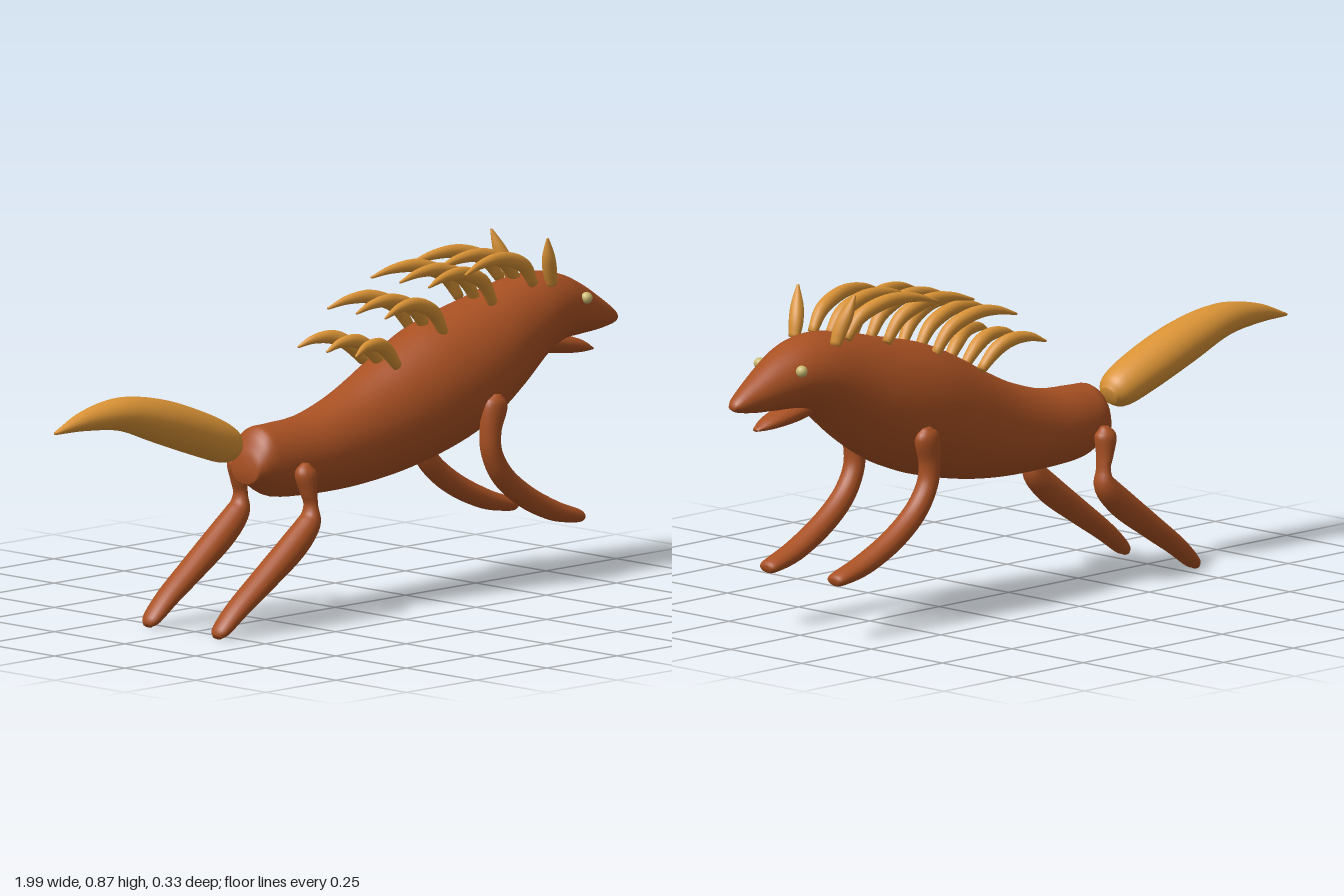
import * as THREE from 'three';

// Smooth loft of elliptical sections along a spine. Each row: [x, y, z, radius across spine, radius in z].
// upright keeps every section in a plane facing x; otherwise sections follow the spine.
function loft(rows, { steps = 24, sides = 20, upright = false } = {}) {
  const curve = (f) => new THREE.CatmullRomCurve3(rows.map(f), false, 'catmullrom', 0.5);
  const spine = curve((r) => new THREE.Vector3(r[0], r[1], r[2]));
  const radii = curve((r) => new THREE.Vector3(r[3], r[4], 0));
  const pos = [], idx = [];
  for (let i = 0; i <= steps; i++) {
    const t = i / steps;
    const c = spine.getPoint(t), r = radii.getPoint(t);
    const d = upright ? new THREE.Vector3(1, 0, 0) : spine.getTangent(t).setZ(0).normalize();
    for (let j = 0; j < sides; j++) {
      const a = (j / sides) * Math.PI * 2;
      const n = Math.cos(a) * Math.max(r.x, 0.002), b = Math.sin(a) * Math.max(r.y, 0.002);
      pos.push(c.x - d.y * n, c.y + d.x * n, c.z + b);
    }
  }
  for (let i = 0; i < steps; i++) {
    for (let j = 0; j < sides; j++) {
      const k = (j + 1) % sides;
      const a = i * sides + j, b = i * sides + k;
      idx.push(a, b, a + sides, b, b + sides, a + sides);
    }
  }
  // end caps
  const p0 = spine.getPoint(0), p1 = spine.getPoint(1);
  const s = pos.length / 3, last = steps * sides;
  pos.push(p0.x, p0.y, p0.z, p1.x, p1.y, p1.z);
  for (let j = 0; j < sides; j++) {
    const k = (j + 1) % sides;
    idx.push(s, k, j, s + 1, last + j, last + k);
  }
  const g = new THREE.BufferGeometry();
  g.setAttribute('position', new THREE.Float32BufferAttribute(pos, 3));
  g.setIndex(idx);
  g.computeVertexNormals();
  return g;
}

export function createModel() {
  const coat = new THREE.MeshStandardMaterial({ color: 0xa85022 });
  coat.name = 'chestnut coat';
  const hair = new THREE.MeshStandardMaterial({ color: 0xd99235 });
  hair.name = 'golden hair';
  const eyeMat = new THREE.MeshStandardMaterial({ color: 0xcaba70 });
  eyeMat.name = 'pale eye';

  const model = new THREE.Group();
  model.name = 'horse';
  const add = (name, geometry, material) => {
    const m = new THREE.Mesh(geometry, material);
    m.name = name;
    model.add(m);
    return m;
  };

  // body, neck and head: [x, top, bottom, half width]
  const outline = [
    [-0.325, 0.43, 0.36, 0.045], [-0.29, 0.495, 0.345, 0.072], [-0.235, 0.503, 0.317, 0.085],
    [-0.12, 0.51, 0.308, 0.093], [0, 0.545, 0.307, 0.101], [0.1, 0.59, 0.313, 0.112],
    [0.2, 0.642, 0.326, 0.127], [0.3, 0.687, 0.347, 0.14], [0.4, 0.715, 0.375, 0.145],
    [0.5, 0.738, 0.417, 0.138], [0.6, 0.763, 0.48, 0.121], [0.7, 0.775, 0.557, 0.104],
    [0.78, 0.763, 0.59, 0.086], [0.85, 0.733, 0.596, 0.066], [0.92, 0.69, 0.6, 0.045],
    [0.975, 0.652, 0.608, 0.026], [0.995, 0.632, 0.617, 0.012],
  ];
  const bodyRows = outline.map(([x, t, b, w]) => [x, (t + b) / 2, 0, (t - b) / 2, w]);
  add('body', loft(bodyRows, { steps: 64, sides: 36, upright: true }), coat);

  // lower jaw
  add('jaw', loft([
    [0.7, 0.6, 0, 0.02, 0.03], [0.75, 0.588, 0, 0.026, 0.038], [0.81, 0.577, 0, 0.024, 0.038],
    [0.87, 0.565, 0, 0.016, 0.028], [0.91, 0.554, 0, 0.004, 0.01],
  ], { upright: true }), coat);

  // tail
  add('tail', loft([
    [-0.358, 0.455, 0, 0.022, 0.025], [-0.39, 0.468, 0, 0.047, 0.052], [-0.48, 0.505, 0, 0.056, 0.064],
    [-0.62, 0.555, 0, 0.056, 0.063], [-0.76, 0.592, 0, 0.043, 0.05], [-0.89, 0.591, 0, 0.026, 0.028],
    [-0.998, 0.572, 0, 0.004, 0.005],
  ], { steps: 36, sides: 24 }), hair);

  // mane locks: base, crest and tip in side profile
  const locks = [
    [0.16, 0.62, 0.07, 0.676, -0.03, 0.66],
    [0.325, 0.685, 0.205, 0.762, 0.075, 0.745],
    [0.5, 0.74, 0.375, 0.82, 0.23, 0.805],
    [0.645, 0.77, 0.515, 0.84, 0.36, 0.82],
  ];
  const lockRows = ([bx, by, cx, cy, tx, ty], s) => [
    [bx, by - 0.012, 0.06 * s, 0.013, 0.013],
    [bx - 0.045, by + (cy - by) * 0.6, 0.068 * s, 0.019, 0.018],
    [cx, cy, 0.08 * s, 0.018, 0.016],
    [(cx + tx) / 2 - 0.005, (cy + ty) / 2 + 0.008, 0.09 * s, 0.012, 0.011],
    [tx, ty, 0.102 * s, 0.003, 0.003],
  ];
  for (const s of [-1, 0, 1]) {
    for (const l of locks) add('maneLock', loft(lockRows(l, s), { steps: 18, sides: 12 }), hair);
  }

  for (const s of [-1, 1]) {
    // ears
    add('ear', loft([
      [0.698, 0.75, 0.072 * s, 0.012, 0.016], [0.685, 0.79, 0.078 * s, 0.018, 0.02],
      [0.67, 0.83, 0.088 * s, 0.016, 0.017], [0.655, 0.877, 0.1 * s, 0.003, 0.003],
    ], { steps: 14, sides: 12 }), hair);

    // eyes
    const eye = add('eye', new THREE.SphereGeometry(0.015, 16, 12), eyeMat);
    eye.position.set(0.82, 0.702, 0.074 * s);

    // front legs, swept forward
    add('frontLeg', loft([
      [0.437, 0.512, 0.135 * s, 0.012, 0.012], [0.433, 0.485, 0.136 * s, 0.036, 0.026],
      [0.42, 0.42, 0.132 * s, 0.028, 0.028], [0.427, 0.36, 0.13 * s, 0.026, 0.029],
      [0.47, 0.295, 0.128 * s, 0.029, 0.03], [0.55, 0.235, 0.126 * s, 0.029, 0.031],
      [0.65, 0.187, 0.122 * s, 0.026, 0.032], [0.735, 0.163, 0.119 * s, 0.018, 0.029],
      [0.752, 0.158, 0.119 * s, 0.009, 0.018],
    ], { steps: 40 }), coat);

    // hind legs, pinched above the hock and stretched back
    add('hindLeg', loft([
      [-0.225, 0.415, 0.118 * s, 0.01, 0.01], [-0.226, 0.39, 0.12 * s, 0.03, 0.026],
      [-0.22, 0.345, 0.123 * s, 0.021, 0.024], [-0.213, 0.305, 0.125 * s, 0.015, 0.022],
      [-0.222, 0.262, 0.126 * s, 0.03, 0.032], [-0.28, 0.208, 0.126 * s, 0.036, 0.037],
      [-0.38, 0.138, 0.125 * s, 0.031, 0.037], [-0.47, 0.076, 0.124 * s, 0.025, 0.034],
      [-0.53, 0.027, 0.123 * s, 0.018, 0.028], [-0.546, 0.01, 0.123 * s, 0.008, 0.014],
    ], { steps: 45 }), coat);
  }

  return model;
}
